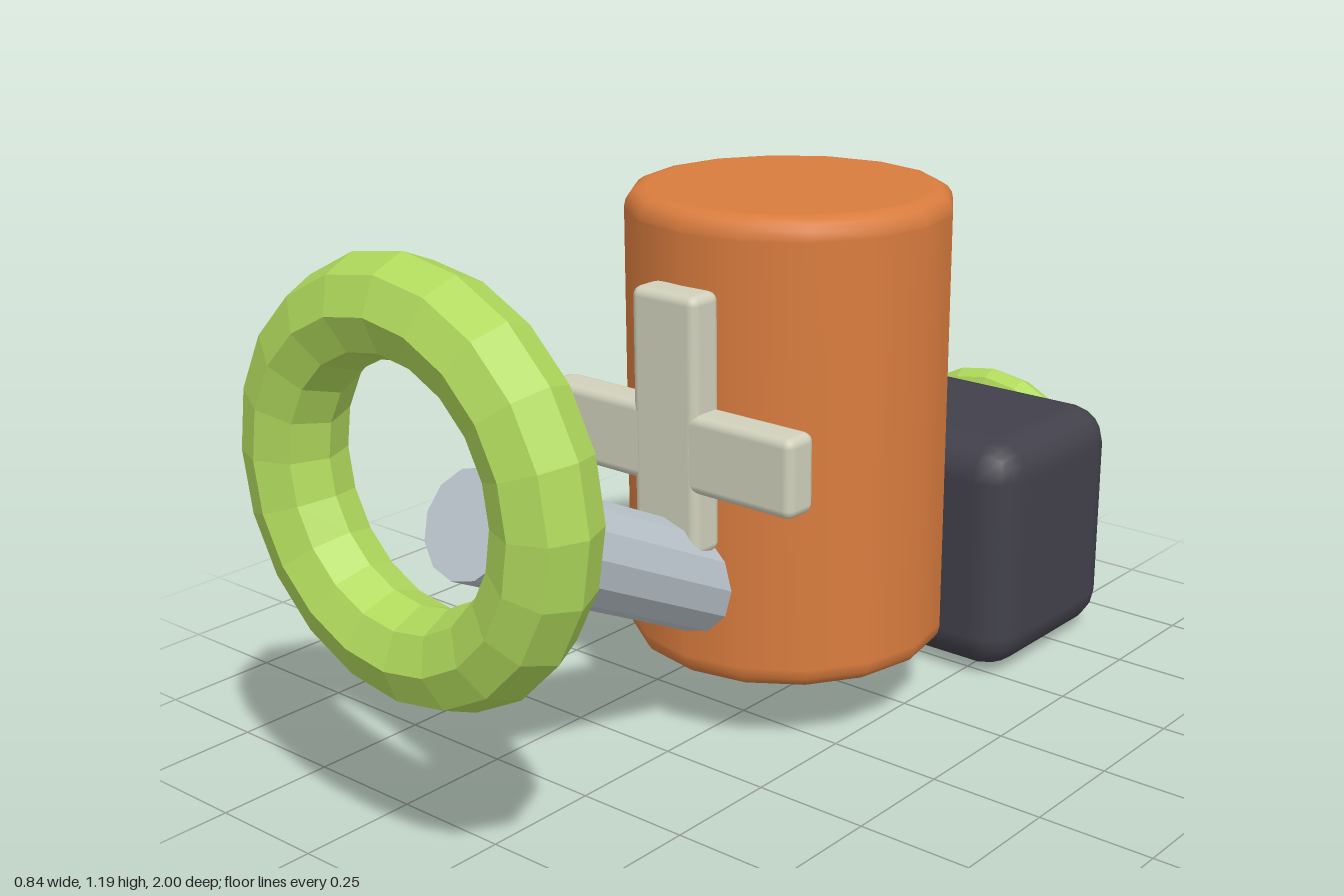
import * as THREE from 'three';
import { RoundedBoxGeometry } from 'three/addons/geometries/RoundedBoxGeometry.js';

const mat = (name, color, flatShading = false) => {
  const m = new THREE.MeshStandardMaterial({ color, flatShading });
  m.name = name;
  return m;
};

export function createModel() {
  const group = new THREE.Group();
  const orange = mat('orange', 0xd97c3e);
  const green = mat('lime green', 0xb0d95c, true);
  const dark = mat('charcoal', 0x42414b);
  const cream = mat('cream', 0xd0d0bc);
  const steel = mat('steel grey', 0xbcc6cd, true);

  const add = (name, geometry, material, x, y, z) => {
    const mesh = new THREE.Mesh(geometry, material);
    mesh.name = name;
    mesh.position.set(x, y, z);
    group.add(mesh);
    return mesh;
  };

  // Upright body: cylinder with softly rounded rims
  const r = 0.341, bevel = 0.04, bottom = 0.155, top = 1.14;
  const profile = [[0, bottom], [r - bevel - 0.005, bottom]];
  for (let i = 0; i <= 4; i++) {
    const a = (i / 4) * Math.PI / 2;
    profile.push([r - bevel + bevel * Math.sin(a), bottom + bevel - bevel * Math.cos(a)]);
  }
  profile.push([r, bottom + bevel + 0.005], [r, top - bevel - 0.005]);
  for (let i = 0; i <= 4; i++) {
    const a = (i / 4) * Math.PI / 2;
    profile.push([r - bevel + bevel * Math.cos(a), top - bevel + bevel * Math.sin(a)]);
  }
  profile.push([r - bevel - 0.005, top], [0, top]);
  add('body', new THREE.LatheGeometry(profile.map(p => new THREE.Vector2(...p)), 16),
    orange, 0, 0, -0.15);

  // Rear block and the ring on its back
  add('rearBlock', new RoundedBoxGeometry(0.725, 0.535, 0.47, 2, 0.085), dark, 0, 0.2825, -0.685);
  add('rearRing', new THREE.TorusGeometry(0.229, 0.048, 8, 20), green, 0, 0.28, -0.952);

  // Large front ring
  add('frontRing', new THREE.TorusGeometry(0.322, 0.096, 8, 20), green, 0, 0.777, 0.904);

  // Cross plate on the front of the body
  add('crossUpright', new RoundedBoxGeometry(0.166, 0.54, 0.082, 2, 0.02), cream, 0, 0.722, 0.212);
  add('crossBar', new RoundedBoxGeometry(0.64, 0.165, 0.08, 2, 0.02), cream, 0, 0.672, 0.212);

  // Spout rising forward from the body
  const start = new THREE.Vector3(0, 0.332, 0.1);
  const end = new THREE.Vector3(0, 0.668, 0.783);
  const axis = end.clone().sub(start);
  const mid = start.clone().add(end).multiplyScalar(0.5);
  const spout = add('spout', new THREE.CylinderGeometry(0.107, 0.107, axis.length(), 12),
    steel, mid.x, mid.y, mid.z);
  spout.quaternion.setFromUnitVectors(new THREE.Vector3(0, 1, 0), axis.normalize());

  return group;
}
